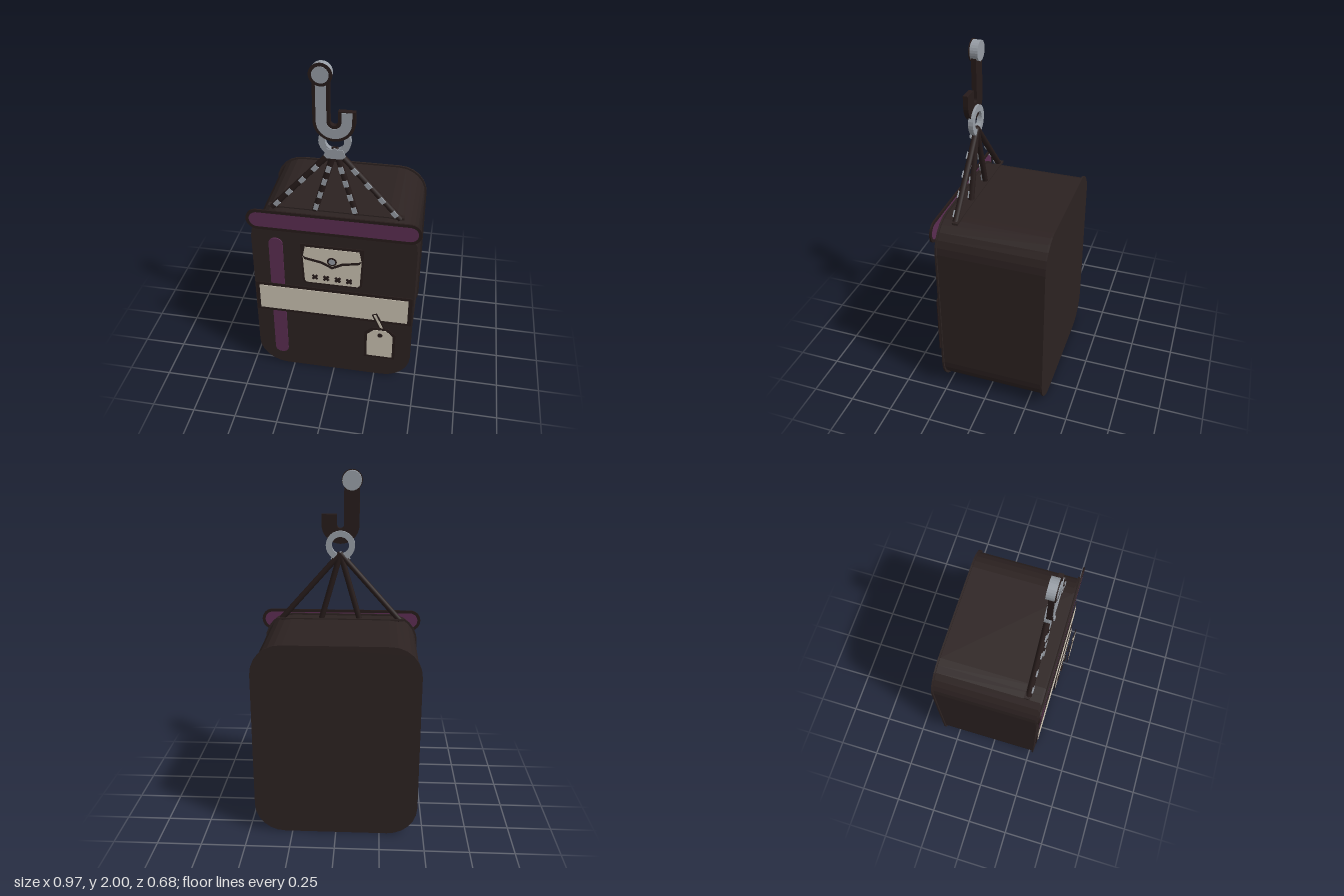
import * as THREE from 'three';

const material = (name, color, side = THREE.FrontSide) => {
  const m = new THREE.MeshStandardMaterial({ color, side });
  m.name = name;
  return m;
};

export function createModel() {
  const bag = material('dark canvas', 0x2c2221);
  const edge = material('dark edging', 0x261b1a);
  const purple = material('purple webbing', 0x5b2d52);
  const cream = material('cream cloth', 0xcac2b2);
  const steel = material('steel', 0x979da5);

  const model = new THREE.Group();
  model.name = 'hangingBag';

  const add = (name, geometry, mat, parent = model) => {
    const mesh = new THREE.Mesh(geometry, mat);
    mesh.name = name;
    parent.add(mesh);
    return mesh;
  };
  const group = (name) => {
    const g = new THREE.Group();
    g.name = name;
    model.add(g);
    return g;
  };

  // Flat shape extruded between two depths
  const slab = (name, shape, z0, z1, mat, parent, segments = 8) => {
    const geo = new THREE.ExtrudeGeometry(shape, { depth: z1 - z0, bevelEnabled: false, curveSegments: segments });
    geo.translate(0, 0, z0);
    return add(name, geo, mat, parent);
  };
  const roundRect = (x0, y0, x1, y1, r) => {
    const s = new THREE.Shape();
    s.moveTo(x0 + r, y0);
    s.lineTo(x1 - r, y0);
    s.absarc(x1 - r, y0 + r, r, -Math.PI / 2, 0);
    s.lineTo(x1, y1 - r);
    s.absarc(x1 - r, y1 - r, r, 0, Math.PI / 2);
    s.lineTo(x0 + r, y1);
    s.absarc(x0 + r, y1 - r, r, Math.PI / 2, Math.PI);
    s.lineTo(x0, y0 + r);
    s.absarc(x0 + r, y0 + r, r, Math.PI, Math.PI * 1.5);
    return s;
  };
  const polygon = (points) => new THREE.Shape(points.map(([x, y]) => new THREE.Vector2(x, y)));
  const disc = (x, y, r) => new THREE.Shape().absarc(x, y, r, 0, Math.PI * 2);

  // Bag body with a slightly larger panel at each end
  const body = group('body');
  slab('bodyShell', roundRect(-0.455, 0.015, 0.455, 1.13, 0.165), -0.33, 0.27, bag, body, 3);
  for (const [name, z] of [['backPanel', -0.34], ['frontPanel', 0.27]]) {
    slab(name, roundRect(-0.465, 0.003, 0.465, 1.14, 0.17), z, z + 0.01, bag, body, 3);
  }

  // Purple top trim held in a dark frame
  const trim = group('topTrim');
  const trimFrame = roundRect(-0.483, 1.033, 0.483, 1.16, 0.063);
  trimFrame.holes.push(roundRect(-0.465, 1.05, 0.465, 1.143, 0.046));
  slab('trimFrame', trimFrame, 0.286, 0.295, edge, trim);
  slab('trimFill', roundRect(-0.465, 1.05, 0.465, 1.143, 0.046), 0.288, 0.294, purple, trim);

  // Vertical strap and horizontal band
  slab('strap', roundRect(-0.365, 0.1, -0.285, 0.975, 0.038), 0.282, 0.289, purple);
  const band = group('band');
  slab('bandEdge', roundRect(-0.457, 0.442, 0.457, 0.65, 0.003), 0.288, 0.293, edge, band);
  slab('bandFill', roundRect(-0.435, 0.462, 0.435, 0.63, 0.003), 0.293, 0.297, cream, band);

  // Pocket with flap seam, button and cross stitches
  const pocket = group('pocket');
  slab('pocketEdge', polygon([[-0.155, 0.7], [0.155, 0.7], [0.17, 0.72], [0.178, 0.975], [-0.178, 0.975], [-0.17, 0.72]]),
    0.308, 0.313, edge, pocket);
  slab('pocketFill', polygon([[-0.147, 0.712], [0.147, 0.712], [0.157, 0.725], [0.165, 0.89], [0.152, 0.958],
    [-0.152, 0.958], [-0.165, 0.89], [-0.157, 0.725]]), 0.313, 0.316, cream, pocket);
  slab('flapSeam', polygon([[-0.166, 0.9], [-0.155, 0.875], [-0.06, 0.855], [0, 0.823], [0.06, 0.855], [0.155, 0.875],
    [0.166, 0.9], [0.15, 0.889], [0.055, 0.87], [0, 0.84], [-0.055, 0.87], [-0.15, 0.889]]), 0.316, 0.318, edge, pocket);
  slab('buttonEdge', disc(0, 0.875, 0.028), 0.317, 0.319, edge, pocket);
  slab('button', disc(0, 0.875, 0.018), 0.319, 0.321, steel, pocket);
  [-0.098, -0.033, 0.033, 0.098].forEach((x, i) => {
    for (const turn of [-1, 1]) {
      const stitch = add('stitch', new THREE.BoxGeometry(0.038, 0.012, 0.008), edge, pocket);
      stitch.position.set(x, 0.755, 0.316 + i * 0.0035);
      stitch.rotation.z = turn * Math.PI / 4;
    }
  });

  // Hanging tag with its loop
  const tag = group('tag');
  const tagShape = (x0, y0, x1, y1, c) => polygon([[x0, y0], [x1, y0], [x1, y1 - c], [x1 - c, y1], [x0 + c, y1], [x0, y1 - c]]);
  slab('tagEdge', tagShape(0.192, 0.197, 0.375, 0.435, 0.045), 0.33, 0.334, edge, tag);
  slab('tagFill', tagShape(0.208, 0.212, 0.359, 0.42, 0.04), 0.334, 0.336, cream, tag);
  slab('tagEyelet', disc(0.284, 0.382, 0.015), 0.336, 0.338, edge, tag);
  slab('loopEdge', polygon([[0.232, 0.53], [0.262, 0.543], [0.31, 0.435], [0.275, 0.435]]), 0.327, 0.331, edge, tag);
  slab('loopFill', polygon([[0.243, 0.53], [0.256, 0.535], [0.3, 0.438], [0.284, 0.438]]), 0.331, 0.333, cream, tag);

  // Ropes gathered at the ring, with pale flecks along the front
  const ropes = group('ropes');
  add('ropeBar', new THREE.BoxGeometry(0.755, 0.012, 0.032), bag, ropes).position.set(0, 1.131, 0.192);
  const apex = new THREE.Vector3(0, 1.525, 0.198);
  for (const x of [-0.355, -0.115, 0.115, 0.355]) {
    const foot = new THREE.Vector3(x, 1.125, 0.198);
    const run = foot.clone().sub(apex);
    const angle = Math.atan2(run.x, -run.y);
    const rope = add('rope', new THREE.CylinderGeometry(0.017, 0.017, run.length(), 8), edge, ropes);
    rope.position.copy(apex).addScaledVector(run, 0.5);
    rope.rotation.z = angle;
    for (const t of [0.3, 0.5, 0.71, 0.91]) {
      const fleck = add('fleck', new THREE.BoxGeometry(0.026, 0.038, 0.008), steel, ropes);
      fleck.position.copy(apex).addScaledVector(run, t);
      fleck.position.z = 0.213;
      fleck.rotation.z = angle;
    }
  }

  // Ring and clamp above the ropes
  const ring = group('ring');
  const ringShape = disc(0, 1.573, 0.085);
  ringShape.holes.push(disc(0, 1.573, 0.05));
  slab('ringBand', ringShape, 0.186, 0.214, steel, ring, 12);
  slab('clamp', polygon([[-0.058, 1.49], [-0.04, 1.474], [0.04, 1.474], [0.058, 1.49], [0.042, 1.53],
    [0.018, 1.525], [0, 1.535], [-0.018, 1.525], [-0.042, 1.53]]), 0.212, 0.219, steel, ring);

  // Hook: dark backing with a narrower steel face
  const hook = group('hook');
  const hookShape = (half, tip) => {
    const s = new THREE.Shape();
    const r = 0.065;
    s.moveTo(-r - half, 1.94);
    s.lineTo(-r - half, 1.69);
    s.absarc(0, 1.69, r + half, Math.PI, Math.PI * 2, false);
    s.lineTo(r + half, tip);
    s.lineTo(r - half, tip);
    s.lineTo(r - half, 1.69);
    s.absarc(0, 1.69, r - half, Math.PI * 2, Math.PI, true);
    s.lineTo(-r + half, 1.94);
    return s;
  };
  slab('hookBack', hookShape(0.044, 1.75), 0.2, 0.228, edge, hook, 10);
  slab('hookFace', hookShape(0.027, 1.745), 0.228, 0.232, steel, hook, 10);

  // Hook eye
  slab('eyeBarrel', disc(-0.065, 1.94, 0.055), 0.187, 0.231, steel, hook, 12);
  slab('eyeRim', disc(-0.065, 1.94, 0.06), 0.231, 0.236, edge, hook, 12);
  slab('eyeFace', disc(-0.065, 1.94, 0.043), 0.236, 0.239, steel, hook, 12);

  return model;
}
